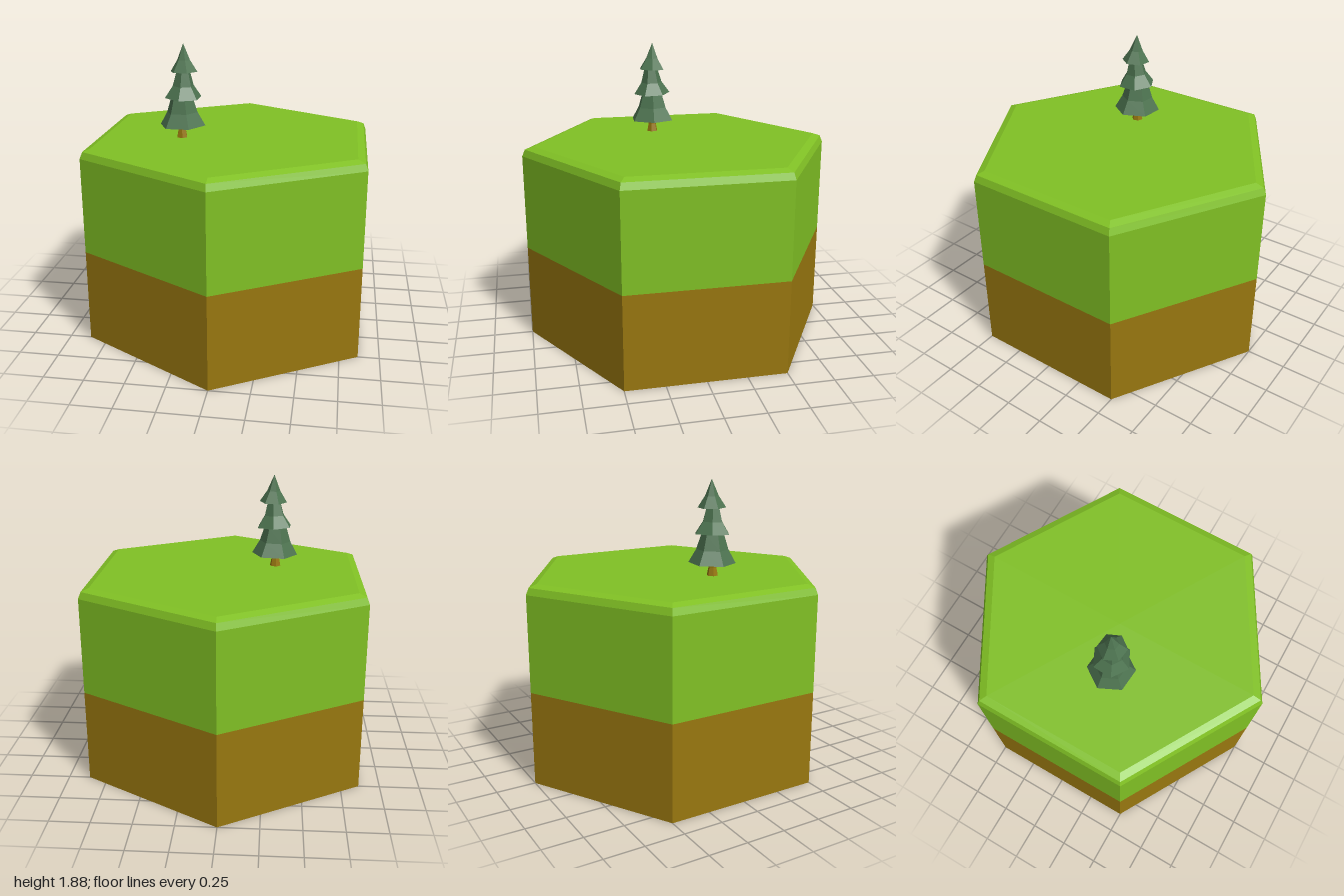
import * as THREE from 'three';

const material = (name, color) => {
  const m = new THREE.MeshStandardMaterial({ color });
  m.name = name;
  return m;
};

// Faceted six-sided solid turned from [radius, height] pairs, listed bottom to top
function hexSolid(name, profile, mat, turn = 0) {
  const points = profile.map(([r, y]) => new THREE.Vector2(r, y));
  const geo = new THREE.LatheGeometry(points, 6, turn).toNonIndexed();
  geo.computeVertexNormals();
  const mesh = new THREE.Mesh(geo, mat);
  mesh.name = name;
  return mesh;
}

// Shift and tilt a tree part slightly so it looks hand made
function place(mesh, x, y, z, tiltX = 0, tiltZ = 0) {
  mesh.position.set(x, y, z);
  mesh.rotation.set(tiltX, 0, tiltZ);
  return mesh;
}

export function createModel() {
  const grass = material('grass green', 0x80c024);
  const earth = material('earth brown', 0x98770f);
  const needles = material('pine green', 0x4d7350);

  const model = new THREE.Group();
  model.name = 'hexTileWithPine';

  // Ground: earth below, grass with a rounded rim above
  model.add(hexSolid('earthBase', [[0, 0], [1, 0], [1, 0.605]], earth));
  model.add(hexSolid('grassLayer',
    [[1, 0.605], [1, 1.22], [0.982, 1.262], [0.93, 1.28], [0, 1.28]], grass));

  // Pine tree: tapered trunk and three flared, twisted tiers
  const tree = new THREE.Group();
  tree.name = 'pineTree';
  const trunk = hexSolid('trunk', [[0.038, 0], [0.026, 0.06], [0.022, 0.15]], earth, 0.2);
  tree.add(place(trunk, -0.308, 1.27, 0.115));

  const tiers = [
    { name: 'lowerBranches', at: [-0.302, 1.36, 0.115], turn: 1.49, tilt: [0, 0.02],
      profile: [[0, 0.03], [0.148, 0], [0.1, 0.085], [0.07, 0.18], [0, 0.24]] },
    { name: 'middleBranches', at: [-0.297, 1.54, 0.117], turn: 1.0, tilt: [0.04, -0.03],
      profile: [[0, 0.025], [0.119, 0], [0.068, 0.075], [0.045, 0.16], [0, 0.21]] },
    { name: 'topBranches', at: [-0.288, 1.702, 0.118], turn: 1.45, tilt: [-0.03, 0.02],
      profile: [[0, 0.02], [0.088, 0], [0.042, 0.072], [0, 0.174]] },
  ];
  for (const { name, at, turn, tilt, profile } of tiers) {
    tree.add(place(hexSolid(name, profile, needles, turn), ...at, ...tilt));
  }
  model.add(tree);
  return model;
}
